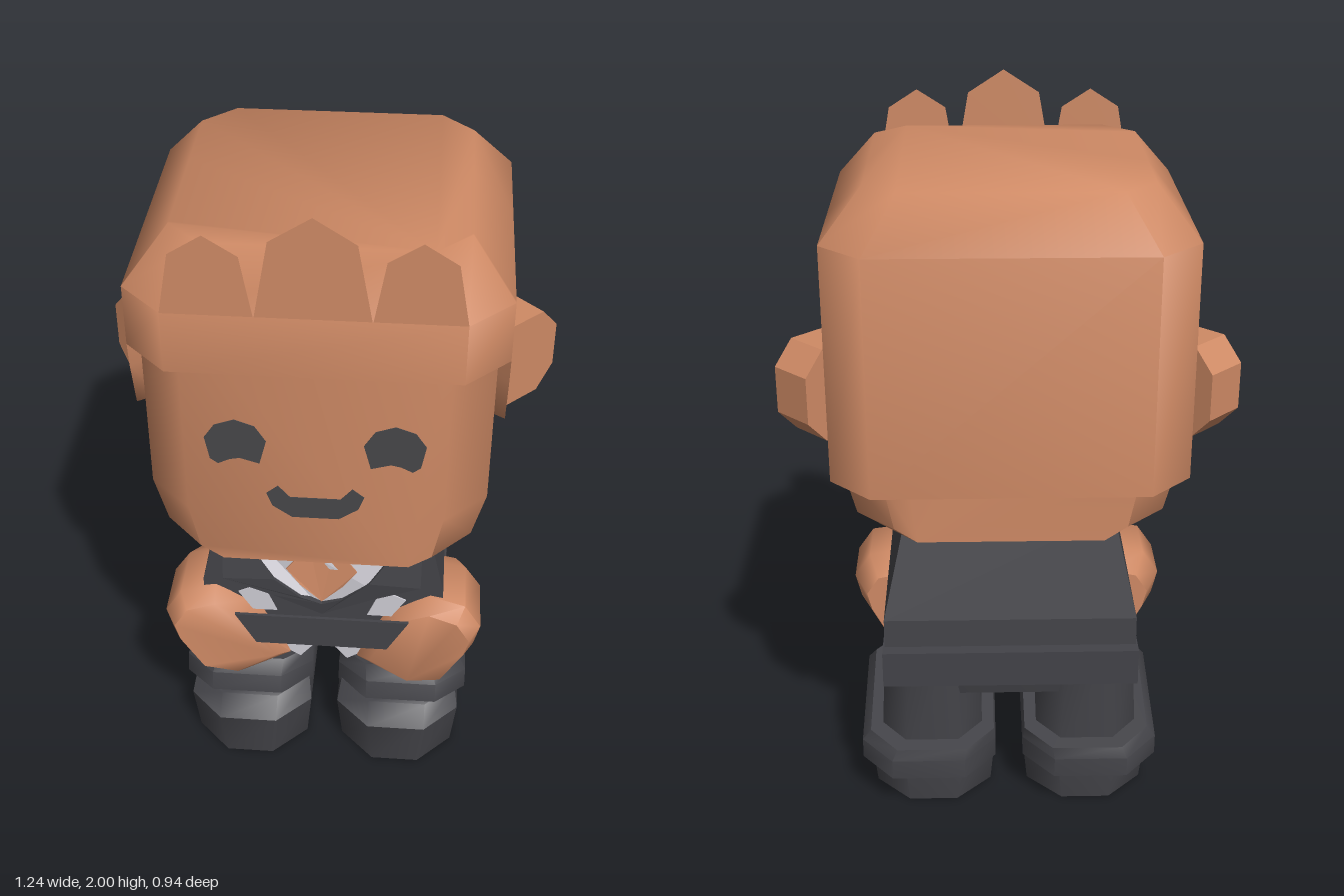
import * as THREE from 'three';
import { toCreasedNormals } from 'three/addons/utils/BufferGeometryUtils.js';

const material = (name, color) => {
  const m = new THREE.MeshStandardMaterial({ color, side: THREE.DoubleSide });
  m.name = name;
  return m;
};

// Joins equal-length rings of [x, y, z] points, then closes the ends.
function loft(rings, { start = true, end = true, crease = 1.0 } = {}) {
  const n = rings[0].length, index = [];
  for (let i = 0; i < rings.length - 1; i++) {
    for (let j = 0; j < n; j++) {
      const a = i * n + j, b = i * n + (j + 1) % n;
      index.push(a, b, b + n, a, b + n, a + n);
    }
  }
  const last = (rings.length - 1) * n;
  for (let j = 1; j < n - 1; j++) {
    if (start) index.push(0, j + 1, j);
    if (end) index.push(last, last + j, last + j + 1);
  }
  const g = new THREE.BufferGeometry();
  g.setAttribute('position', new THREE.Float32BufferAttribute(rings.flat(2), 3));
  g.setIndex(index);
  return toCreasedNormals(g, crease);
}

// Rectangle with cut corners around the vertical axis, optionally tilted along z.
function octagon(cx, hx, front, back, cut, y, tilt = 0) {
  const right = cx - hx, left = cx + hx;
  return [
    [right + cut, front], [left - cut, front], [left, front - cut], [left, back + cut],
    [left - cut, back], [right + cut, back], [right, back + cut], [right, front - cut],
  ].map(([x, z]) => [x, y + tilt * z, z]);
}

const shape = (pts) => new THREE.Shape(pts.map(([x, y]) => new THREE.Vector2(x, y)));
const mirrored = (pts, s) => pts.map(([x, y]) => [s * x, y]);

export function createModel() {
  const group = new THREE.Group();
  const skin = material('warm skin', 0xcf8a65);
  const suit = material('charcoal suit', 0x434348);
  const feature = material('dark features', 0x47474a);
  const shirt = material('pale shirt', 0xcfcdd5);

  const add = (name, geometry, mat) => {
    const mesh = new THREE.Mesh(geometry, mat);
    mesh.name = name;
    group.add(mesh);
    return mesh;
  };
  const plate = (name, pts, z, mat, depth = 0.004) => {
    const g = new THREE.ExtrudeGeometry(shape(pts), { depth, bevelEnabled: false });
    return add(name, g.translate(0, 0, z), mat);
  };

  // Head: a cut-corner block with a narrowing jaw
  const headRing = (z, w) => {
    const half = [[w * 0.74, 0.96], [w * 0.92, 1.0], [w, 1.13], [w, 1.7]];
    return [...half, ...mirrored(half, -1).reverse()].map(([x, y]) => [x, y, z]);
  };
  add('head', loft([headRing(-0.44, 0.33), headRing(-0.34, 0.44),
    headRing(0.34, 0.44), headRing(0.445, 0.33)]), skin);

  // Hair cap: [x, z, lower edge height], from the fringe round to the nape
  const hairHalf = [
    [0.36, 0.47, 1.57], [0.47, 0.36, 1.57], [0.47, 0.35, 1.5], [0.47, 0.31, 1.36],
    [0.47, 0.16, 1.3], [0.47, -0.03, 1.3], [0.47, -0.07, 1.1], [0.47, -0.36, 1.1],
    [0.36, -0.47, 1.1],
  ];
  const hairLine = [...hairHalf, ...hairHalf.map(([x, z, y]) => [-x, z, y]).reverse()];
  add('hair', loft([
    hairLine.map(([x, z, y]) => [x * 0.88, y, z * 0.88]),
    hairLine.map(([x, z, y]) => [x, y, z]),
    hairLine.map(([x, z]) => [x, 1.735, z]),
    hairLine.map(([x, z]) => [x * 0.77, 1.865, z * 0.77]),
  ], { start: false }), skin);

  // Three flat tufts standing up from the fringe
  const tuft = (x, w, h) => add('hairTuft', new THREE.ShapeGeometry(shape([
    [x - w, 1.735], [x + w, 1.735], [x + w * 0.74, 1.735 + h * 0.755],
    [x, 1.735 + h], [x - w * 0.74, 1.735 + h * 0.755],
  ])).translate(0, 0, 0.47), skin);
  tuft(-0.25, 0.11, 0.21);
  tuft(0, 0.138, 0.265);
  tuft(0.25, 0.11, 0.21);

  // Mouth
  const smile = [[0, 1.115], [0.06, 1.115], [0.11, 1.15], [0.125, 1.19], [0.095, 1.215], [0.065, 1.18]];
  plate('mouth', [...smile, ...mirrored(smile, -1).reverse()], 0.443, feature);

  // Chest: shirt and tie lie on the sloping front of the jacket
  const slope = (mesh) => {
    const p = mesh.geometry.attributes.position;
    for (let i = 0; i < p.count; i++) {
      const y = p.getY(i);
      p.setZ(i, p.getZ(i) + (y > 0.72 ? (0.96 - y) * 0.17 : 0.041 - (0.72 - y) * 0.15));
    }
    mesh.geometry.computeVertexNormals();
  };
  slope(plate('shirtFront', [[-0.27, 0.96], [-0.13, 0.72], [0, 0.61], [0.13, 0.72], [0.27, 0.96]], 0.228, shirt));
  const tie = [[0, 0.65], [0.06, 0.72], [0.1, 0.77], [0.035, 0.85], [0.07, 0.91], [0.05, 0.96]];
  slope(plate('tie', [...tie, ...mirrored(tie, -1).slice(1).reverse()], 0.234, skin));

  // Torso and jacket hem
  const box = (hx, front, back, y) => [[-hx, y, front], [hx, y, front], [hx, y, back], [-hx, y, back]];
  add('jacket', loft([box(0.345, 0.23, -0.375, 0.59), box(0.345, 0.23, -0.37, 0.68),
    box(0.28, 0.23, -0.3, 0.97)], { crease: 0.1 }), suit);
  add('jacketHem', loft([box(0.35, 0.21, -0.41, 0.495), box(0.35, 0.21, -0.41, 0.6)]), suit);
  plate('frontHem', [[-0.19, 0.492], [0.19, 0.492], [0.25, 0.6], [-0.25, 0.6]], 0.28, suit, 0.009);
  add('hips', loft([octagon(0, 0.3, 0.08, -0.26, 0.05, 0.37),
    octagon(0, 0.32, 0.12, -0.28, 0.05, 0.51)]), suit);

  for (const s of [1, -1]) {
    const side = s > 0 ? 'left' : 'right';

    // Ear: octagonal slab swept back at 45 degrees
    const ear = [[-0.135, -0.065], [-0.075, -0.13], [0.075, -0.13], [0.135, -0.065],
      [0.135, 0.065], [0.075, 0.13], [-0.075, 0.13], [-0.135, 0.065]];
    const earMesh = plate(side + 'Ear', ear, -0.127, skin, 0.127);
    earMesh.rotation.y = s * Math.PI / 4;
    earMesh.position.set(s * 0.525, 1.28, -0.07);

    // Arched eye
    plate(side + 'Eye', mirrored([[0.122, 1.355], [0.14, 1.285], [0.19, 1.3], [0.215, 1.295],
      [0.245, 1.28], [0.265, 1.295], [0.277, 1.36], [0.25, 1.4], [0.2, 1.418], [0.15, 1.4]], s), 0.443, feature);

    // Lapel and the shirt showing beside it
    slope(plate(side + 'Lapel', mirrored([[0.28, 0.955], [0.28, 0.73], [0.14, 0.67], [0, 0.595],
      [0, 0.64], [0.06, 0.665], [0.135, 0.735]], s), 0.215, suit, 0.025));
    plate(side + 'Cuff', mirrored([[0.13, 0.6], [0.2, 0.6], [0.24, 0.665], [0.17, 0.7]], s), 0.258, shirt);
    plate(side + 'ShirtTail', mirrored([[0.02, 0.5], [0.15, 0.5], [0.13, 0.4], [0.07, 0.36],
      [0.03, 0.41], [0, 0.43]], s), 0.2, shirt);

    // Folded hand, with its inner side set back behind the hem
    const outline = [[0.24, 0.31], [0.36, 0.35], [0.44, 0.5], [0.457, 0.57], [0.41, 0.64],
      [0.31, 0.66], [0.2, 0.6], [0.15, 0.5], [0.1, 0.38]];
    const handRing = (z, k, lean) => {
      const pts = outline.map(([x, y]) => [s * (0.3 + (x - 0.3) * k), 0.49 + (y - 0.49) * k,
        z + (x - 0.44) * lean]);
      return s > 0 ? pts : pts.reverse();
    };
    add(side + 'Hand', loft([handRing(0, 0.75, 0), handRing(0.08, 1, 0),
      handRing(0.25, 1, 0.12), handRing(0.3, 0.8, 0.15)]), skin);

    // Trouser leg, tilted boot cuff and boot
    add(side + 'Leg', loft([octagon(s * 0.225, 0.15, 0.13, -0.275, 0.07, 0.15),
      octagon(s * 0.225, 0.13, 0.1, -0.275, 0.07, 0.52)]), suit);
    add(side + 'BootCuff', loft([
      octagon(s * 0.235, 0.195, 0.225, -0.325, 0.09, 0.175, 0.17),
      octagon(s * 0.235, 0.195, 0.21, -0.325, 0.09, 0.235, 0.17),
      octagon(s * 0.225, 0.18, 0.175, -0.315, 0.08, 0.275, 0.2),
    ], { crease: 0.8 }), suit);
    add(side + 'Boot', loft([
      octagon(s * 0.225, 0.17, 0.275, -0.265, 0.1, 0),
      octagon(s * 0.225, 0.185, 0.292, -0.275, 0.1, 0.16),
      octagon(s * 0.225, 0.175, 0.235, -0.265, 0.09, 0.21),
    ], { crease: 0.8 }), suit);
  }
  return group;
}
